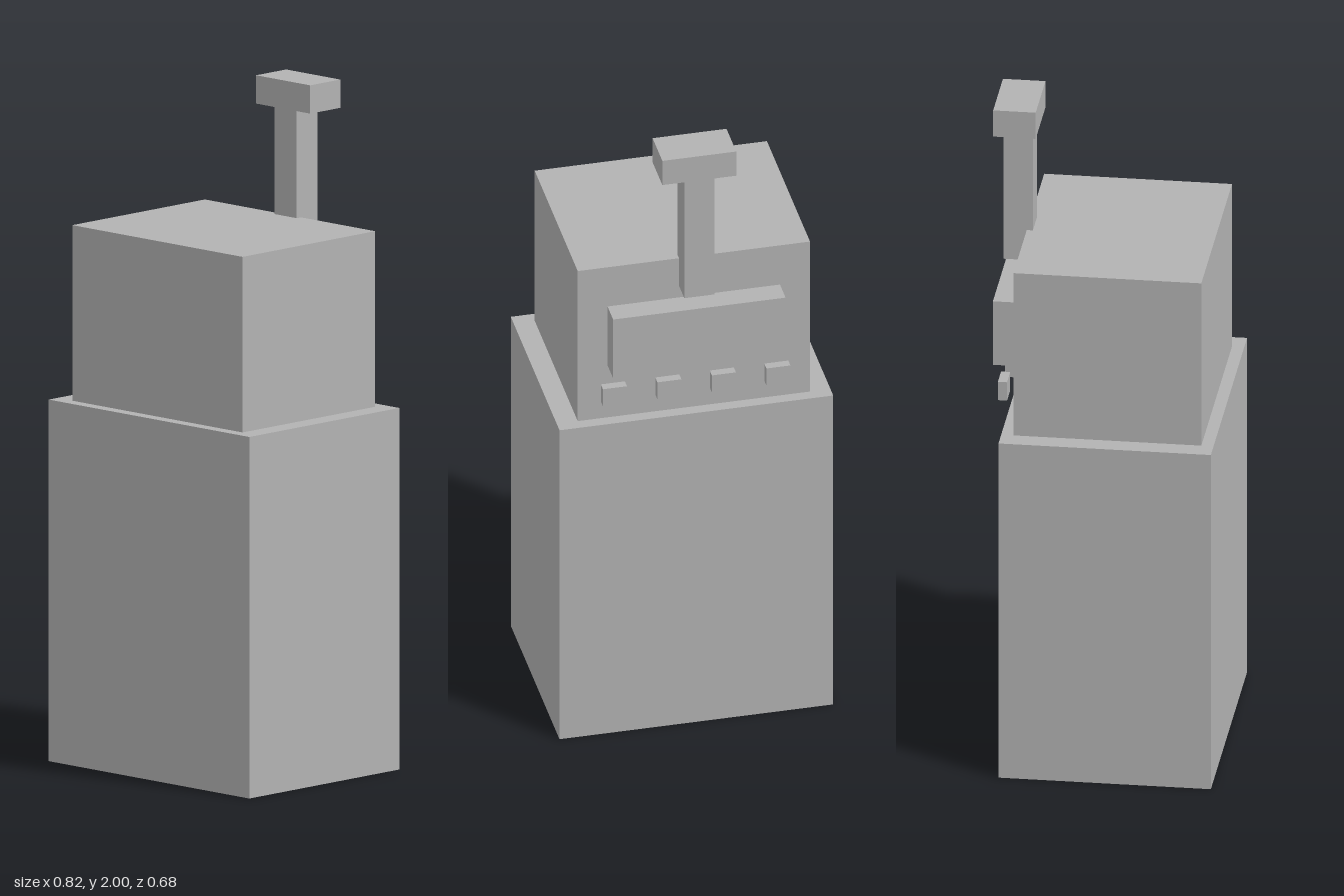
import * as THREE from 'three';

export function createModel() {
  const model = new THREE.Group();
  const grey = new THREE.MeshStandardMaterial({ color: 0xb2b2b2 });
  grey.name = 'plain grey';

  // Box given by its extents on each axis
  function addBox(name, [x0, x1], [y0, y1], [z0, z1]) {
    const mesh = new THREE.Mesh(new THREE.BoxGeometry(x1 - x0, y1 - y0, z1 - z0), grey);
    mesh.position.set((x0 + x1) / 2, (y0 + y1) / 2, (z0 + z1) / 2);
    mesh.name = name;
    model.add(mesh);
  }

  // Stacked housings
  addBox('lowerBody', [-0.41, 0.409], [0, 1.073], [-0.286, 0.338]);
  addBox('upperBody', [-0.349, 0.346], [1.073, 1.594], [-0.25, 0.302]);

  // Pole with its cross head
  addBox('pole', [-0.048, 0.043], [1.498, 1.916], [-0.318, -0.232]);
  addBox('poleHead', [-0.107, 0.114], [1.916, 2], [-0.341, -0.216]);

  // Rear panel and the row of keys under it
  addBox('panel', [-0.259, 0.257], [1.254, 1.458], [-0.322, -0.245]);
  for (let i = 0; i < 4; i++) {
    const x = 0.003 + (i - 1.5) * 0.163;
    addBox('key' + (i + 1), [x - 0.036, x + 0.036], [1.15, 1.209], [-0.305, -0.278]);
  }

  return model;
}
